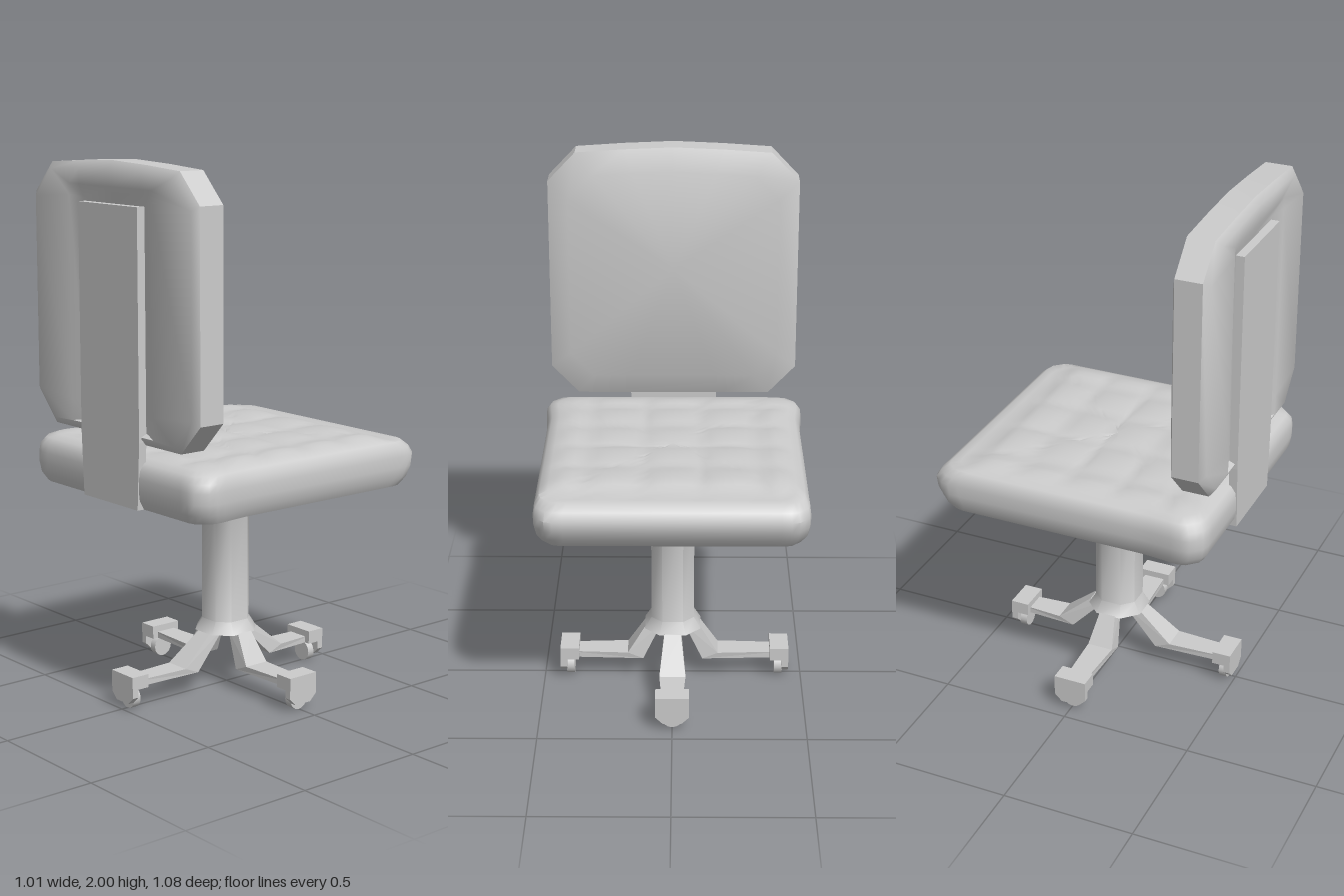
import * as THREE from 'three';
import { toCreasedNormals } from 'three/addons/utils/BufferGeometryUtils.js';

const grey = new THREE.MeshStandardMaterial({ color: 0xcccccc });

function part(name, geometry, parent) {
  const mesh = new THREE.Mesh(geometry, grey);
  mesh.name = name;
  parent.add(mesh);
  return mesh;
}

// Skin closed loops of equal length and cap both ends
function loft(loops, crease) {
  const n = loops[0].length, pos = loops.flat(2), idx = [];
  const quads = loops.length - 1;
  for (let j = 0; j < quads; j++)
    for (let i = 0; i < n; i++) {
      const a = j * n + i, b = j * n + (i + 1) % n;
      idx.push(a, b, b + n, a, b + n, a + n);
    }
  for (const last of [0, quads]) {
    const c = pos.length / 3;
    for (let k = 0; k < 3; k++) pos.push(loops[last].reduce((s, p) => s + p[k], 0) / n);
    for (let i = 0; i < n; i++) {
      const a = last * n + i, b = last * n + (i + 1) % n;
      idx.push(...(last ? [a, b, c] : [b, a, c]));
    }
  }
  const g = new THREE.BufferGeometry();
  g.setAttribute('position', new THREE.Float32BufferAttribute(pos, 3));
  g.setIndex(idx);
  return toCreasedNormals(g, crease);
}

// Cushion with rounded sides, quilted top and a square recess underneath
function seatGeometry() {
  const N = 28, ring = [];
  for (let s = 0; s < 4; s++)
    for (let i = 0; i < N; i++) {
      const t = -1 + 2 * i / N;
      ring.push([[1, -t], [-t, -1], [-1, t], [t, 1]][s]);
    }
  // outline point of the cushion, pulled in by an inset
  const edge = ([u, v], inset, noseInset = inset) => {
    const cut = Math.max(0, Math.abs(u) + Math.abs(v) - 1.9) / 2;
    const x = Math.sign(u) * (Math.abs(u) - cut), z = Math.sign(v) * (Math.abs(v) - cut);
    const half = 0.492 + 0.014 * THREE.MathUtils.smoothstep(v, 0.55, 0.9);
    return [x * (half - inset), z * (0.537 - (v < 0 ? noseInset : inset))];
  };
  const loops = [];
  for (const y of [0.85, 0.787]) loops.push(ring.map(([u, v]) => [u * 0.325, y, v * 0.325]));
  const sides = [[0.025, 0.787, 0.05], [0.006, 0.82, 0.025], [0, 0.86, 0.006], [0, 0.9, 0],
    [0.004, 0.93, 0.02], [0.02, 0.955, 0.05]];
  for (const [inset, y, nose] of sides)
    loops.push(ring.map(p => { const [x, z] = edge(p, inset, nose); return [x, y, z]; }));
  const M = 16;
  for (let k = 0; k < M; k++) {
    const s = 1 - k / M;
    loops.push(ring.map(p => {
      const [ex, ez] = edge(p, 0.05, 0.08), x = ex * s, z = ez * s;
      const quilt = 0.014 * Math.min(1, k / 2) *
        Math.sqrt(Math.abs(Math.cos(Math.PI * x / 0.21) * Math.sin(Math.PI * (z + 0.02) / 0.19)));
      const nose = 0.015 * THREE.MathUtils.smoothstep(-z, 0.34, 0.46);
      return [x, 0.968 + quilt - nose, z];
    }));
  }
  return loft(loops, 0.8);
}

// Clipped-corner pad, bevelled in front, hollowed behind for the spine
function backrestGeometry() {
  const right = [[0.19, 1.02], [0.37, 1.02], [0.475, 1.13], [0.475, 1.87], [0.37, 1.98], [0.19, 1.992]];
  const outline = [...right, [0, 2], ...right.map(([x, y]) => [-x, y]).reverse()];
  const scaled = (sx, sy, z) => outline.map(([x, y]) => [x * sx, 1.51 + (y - 1.51) * sy, z]);
  const clamped = (w, low, high, z) => outline.map(([x, y]) => [
    THREE.MathUtils.clamp(x * 0.95, -w, w), THREE.MathUtils.clamp(y, low, high), z]);
  return loft([
    scaled(0.84, 0.83, 0.376), scaled(1, 1, 0.41), scaled(1, 1, 0.51), scaled(0.95, 0.95, 0.53),
    clamped(0.24, 1.05, 1.91, 0.53), clamped(0.18, 1.06, 1.86, 0.508),
  ], 0.7);
}

// Octagonal column, flared at the base and into a square mount
function columnGeometry() {
  const octagon = (h, c, y) => [[h, c], [h, -c], [c, -h], [-c, -h], [-h, -c], [-h, c], [-c, h], [c, h]]
    .map(([x, z]) => [x, y, z + 0.005]);
  return loft([
    octagon(0.108, 0.05, 0.215), octagon(0.082, 0.04, 0.26), octagon(0.082, 0.04, 0.74),
    octagon(0.11, 0.08, 0.787), octagon(0.155, 0.154, 0.851),
  ], 0.9);
}

// Leg side profile, swept across its width and narrowed at the hub
function legGeometry(foot, end) {
  const tip = end - 0.02;
  const shape = new THREE.Shape([[0.05, 0.22], [0.05, 0.215], [foot - 0.06, 0.085], [tip, 0.085],
    [tip, 0.11], [foot, 0.11], [0.105, 0.22]].map(([x, y]) => new THREE.Vector2(x, y)));
  const g = new THREE.ExtrudeGeometry(shape, { depth: 2, bevelEnabled: false });
  g.translate(0, 0, -1);
  const p = g.attributes.position;
  for (let i = 0; i < p.count; i++) {
    const x = p.getX(i);
    const w = x < 0.11 ? 0.032 : x < tip - 0.01 ? 0.05 : 0.038;
    p.setZ(i, p.getZ(i) * w);
  }
  g.computeVertexNormals();
  return g;
}

function addCaster(parent, end) {
  const caster = new THREE.Group();
  caster.name = 'caster';
  caster.position.x = end;
  parent.add(caster);
  part('casterBlock', new THREE.BoxGeometry(0.072, 0.05, 0.126), caster).position.set(-0.036, 0.11, 0);
  const plate = new THREE.Shape([[-0.063, 0.135], [-0.063, 0.055], [-0.035, 0.028], [0.035, 0.028],
    [0.063, 0.055], [0.063, 0.135]].map(([x, y]) => new THREE.Vector2(x, y)));
  const cover = part('casterCover', new THREE.ExtrudeGeometry(plate, { depth: 0.025, bevelEnabled: false }), caster);
  cover.rotation.y = Math.PI / 2;
  cover.position.x = -0.025;
  const wheel = part('casterWheel', new THREE.CylinderGeometry(0.04, 0.04, 0.03, 16), caster);
  wheel.rotation.z = Math.PI / 2;
  wheel.position.set(-0.038, 0.04, 0);
}

export function createModel() {
  const chair = new THREE.Group();
  chair.name = 'swivelChair';

  part('seat', seatGeometry(), chair);
  part('backrest', backrestGeometry(), chair);

  // flat spine joining seat and backrest
  const spine = new THREE.Shape([[-0.16, 0.787], [0.16, 0.787], [0.172, 1.03], [0.172, 1.85],
    [-0.172, 1.85], [-0.172, 1.03]].map(([x, y]) => new THREE.Vector2(x, y)));
  part('spine', new THREE.ExtrudeGeometry(spine, { depth: 0.032, bevelEnabled: false }), chair)
    .position.z = 0.508;

  part('column', columnGeometry(), chair);

  // four legs: turn, foot of the slope, reach
  const legs = [[0, 0.175, 0.437], [1, 0.235, 0.44], [2, 0.175, 0.45], [3, 0.24, 0.497]];
  for (const [turn, foot, end] of legs) {
    const leg = new THREE.Group();
    leg.name = 'leg';
    leg.rotation.y = turn * Math.PI / 2;
    chair.add(leg);
    part('legArm', legGeometry(foot, end), leg);
    addCaster(leg, end);
  }
  return chair;
}
